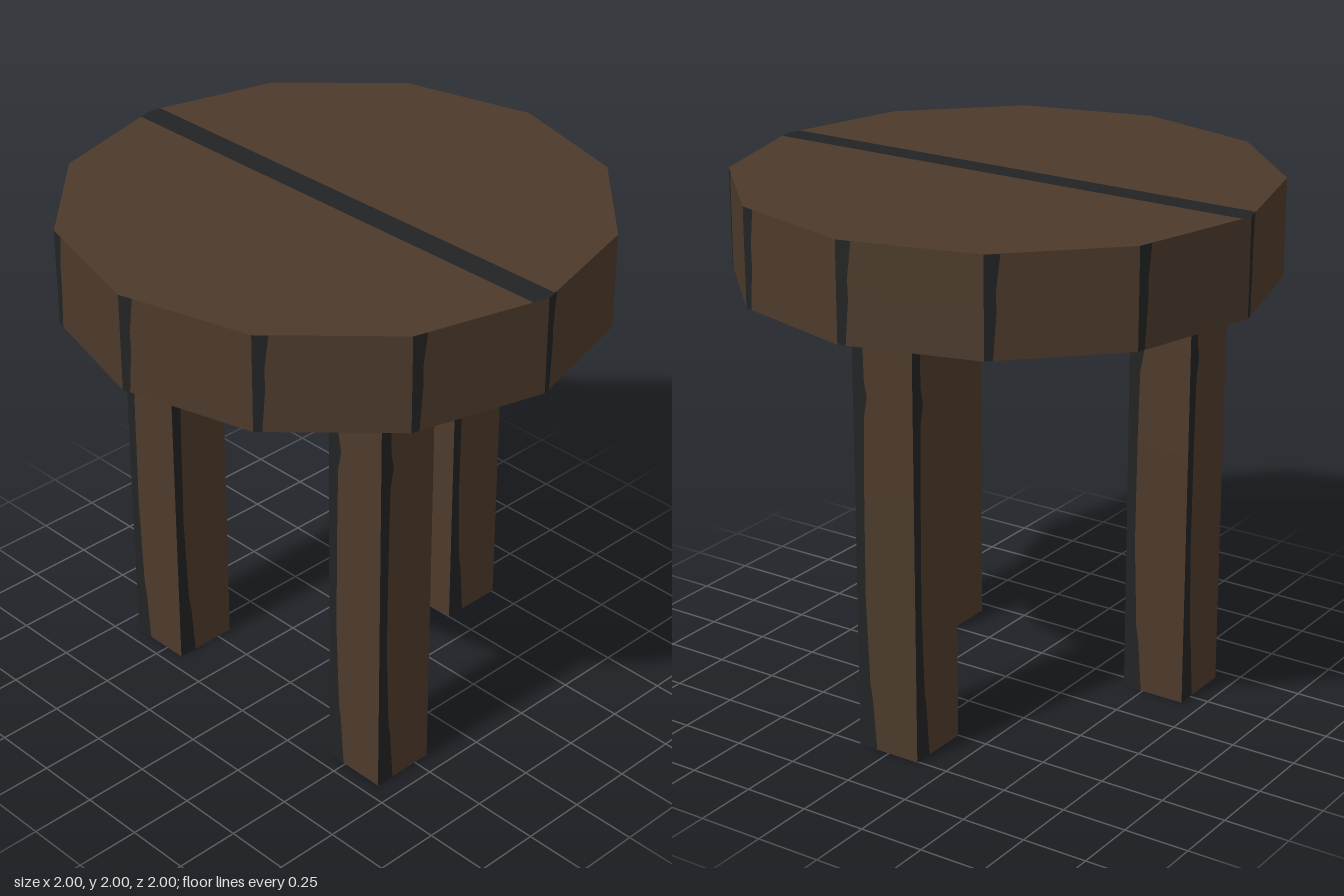
import * as THREE from 'three';

const wood = new THREE.MeshStandardMaterial({ color: 0x4c3a2b, side: THREE.DoubleSide });
wood.name = 'brown wood';
const dark = new THREE.MeshStandardMaterial({ color: 0x222324, side: THREE.DoubleSide });
dark.name = 'charcoal grain';

// Upright walls through a ring of [x, z] corners; each wall has a ragged dark
// band on its left edge, given as [height, band width] pairs from the bottom up
function bandedWalls(ring, profile) {
  const woodTris = [], darkTris = [];
  const quad = (out, a, b, c, d) => out.push(...a, ...b, ...c, ...a, ...c, ...d);
  ring.forEach(([ax, az], i) => {
    const [bx, bz] = ring[(i + 1) % ring.length];
    const length = Math.hypot(bx - ax, bz - az);
    const at = (d, y) => [ax + (bx - ax) * d / length, y, az + (bz - az) * d / length];
    for (let k = 0; k < profile.length - 1; k++) {
      const [y0, w0] = profile[k], [y1, w1] = profile[k + 1];
      quad(darkTris, at(0, y0), at(w0, y0), at(w1, y1), at(0, y1));
      quad(woodTris, at(w0, y0), at(length, y0), at(length, y1), at(w1, y1));
    }
  });
  const geo = new THREE.BufferGeometry();
  geo.setAttribute('position', new THREE.Float32BufferAttribute([...woodTris, ...darkTris], 3));
  geo.addGroup(0, woodTris.length / 3, 0);
  geo.addGroup(woodTris.length / 3, darkTris.length / 3, 1);
  geo.computeVertexNormals();
  return new THREE.Mesh(geo, [wood, dark]);
}

// Flat horizontal panel from [x, z] outline points
function panel(points, y, material, name, down = false) {
  const s = down ? 1 : -1;
  const geo = new THREE.ShapeGeometry(new THREE.Shape(points.map(([x, z]) => new THREE.Vector2(x, s * z))));
  geo.rotateX(s * Math.PI / 2);
  const mesh = new THREE.Mesh(geo, material);
  mesh.position.y = y;
  mesh.name = name;
  return mesh;
}

function makeSeat() {
  const seat = new THREE.Group();
  seat.name = 'seat';
  const ring = [];
  for (let i = 0; i < 12; i++) {
    const t = i * Math.PI / 6;
    ring.push([Math.sin(t), Math.cos(t)]);
  }
  // Open-bottomed rim
  const rim = bandedWalls(ring, [[1.635, 0.03], [1.8, 0.042], [1.87, 0.04], [2, 0.055]]);
  rim.name = 'seatRim';
  // Top in two halves with a dark stripe between them
  const x0 = -0.06, x1 = 0.04;
  const edge = x => 1 - Math.abs(x) * Math.tan(Math.PI / 12);
  seat.add(rim,
    panel([[x1, edge(x1)], ...ring.slice(1, 6), [x1, -edge(x1)]], 2, wood, 'seatTopLeft'),
    panel([[x0, -edge(x0)], ...ring.slice(7), [x0, edge(x0)]], 2, wood, 'seatTopRight'),
    panel([[x0, edge(x0)], ring[0], [x1, edge(x1)], [x1, -edge(x1)], ring[6], [x0, -edge(x0)]], 2, dark, 'seatStripe'));
  return seat;
}

function makeLeg() {
  const leg = new THREE.Group();
  leg.name = 'leg';
  const h = 0.1275, top = 1.78, s = -h + 0.04;
  const ring = [[-h, h], [h, h], [h, -h], [-h, -h]];
  const sides = bandedWalls(ring, [[0, 0.075], [0.2, 0.06], [0.26, 0.05], [0.6, 0.037],
    [1.0, 0.04], [1.28, 0.045], [1.36, 0.06], [1.42, 0.048], [top, 0.042]]);
  sides.name = 'legSides';
  leg.add(sides,
    panel(ring, top, wood, 'legTop'),
    panel([[s, h], [h, h], [h, -h], [s, -h]], 0, wood, 'legFoot', true),
    panel([[-h, h], [s, h], [s, -h], [-h, -h]], 0, dark, 'legFootStripe', true));
  return leg;
}

export function createModel() {
  const stool = new THREE.Group();
  stool.name = 'stool';
  stool.add(makeSeat());
  // Three square legs, evenly spaced but all facing the front
  for (let i = 0; i < 3; i++) {
    const leg = makeLeg();
    const t = i * Math.PI * 2 / 3;
    leg.position.set(0.629 * Math.cos(t), 0, 0.629 * Math.sin(t));
    stool.add(leg);
  }
  return stool;
}
